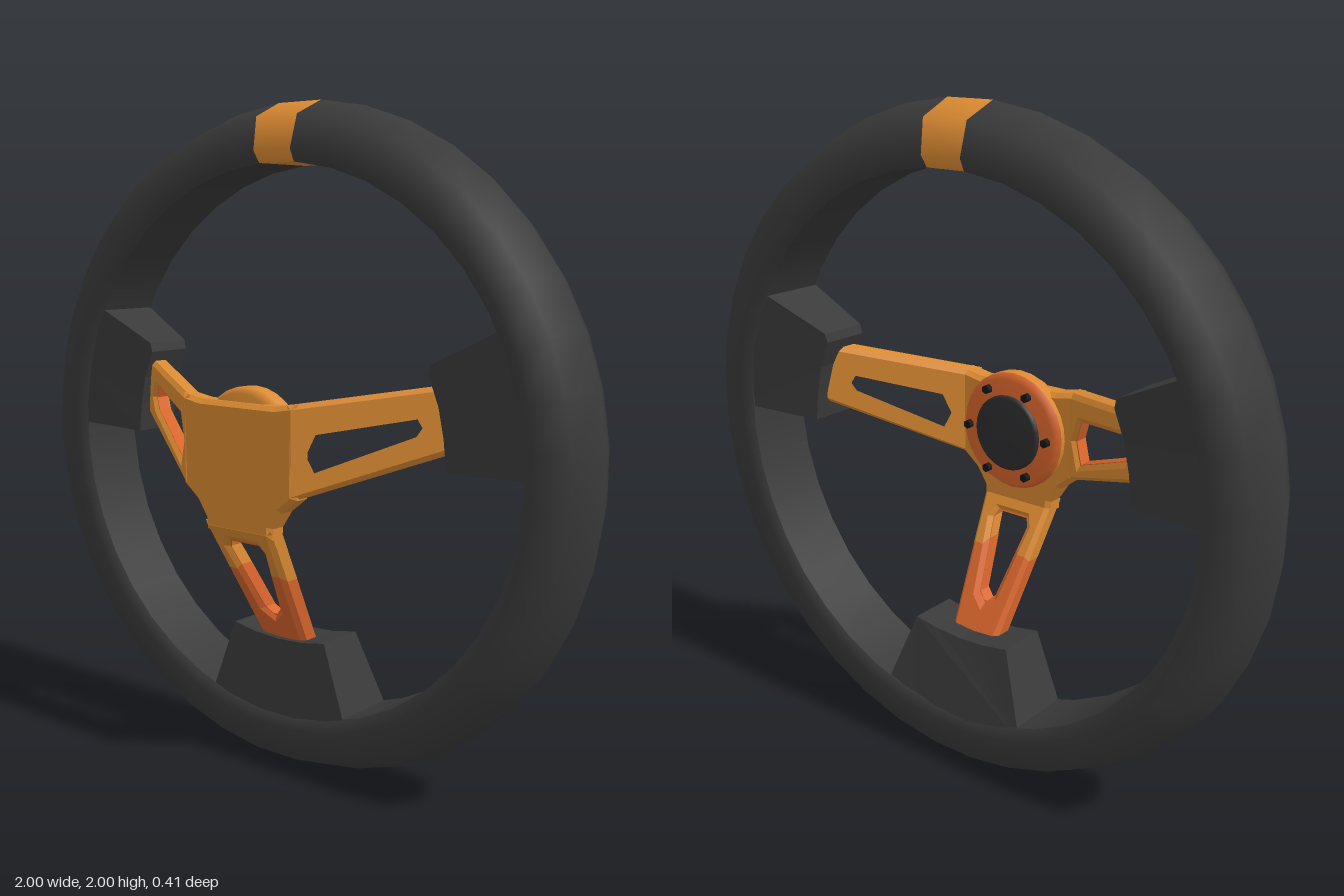
import * as THREE from 'three';

const CY = 1.0; // height of the wheel centre
const B = 0.014; // chamfer of the metal plates
const FRONT = 0.2, THICK = 0.072; // front face and thickness of the metal plates

const mat = (name, color, extra = {}) => {
  const m = new THREE.MeshStandardMaterial({ color, ...extra });
  m.name = name;
  return m;
};

const vecs = (pts) => pts.map(([x, y]) => new THREE.Vector2(x, y));
const mirrorX = (pts) => pts.map(([x, y]) => [-x, y]);
const symmetric = (half) => [...half, ...mirrorX(half).reverse()];

// scale an outline about its own middle
function scaled(pts, s) {
  const cx = pts.reduce((a, p) => a + p[0], 0) / pts.length;
  const cy = pts.reduce((a, p) => a + p[1], 0) / pts.length;
  return pts.map(([x, y]) => [cx + (x - cx) * s, cy + (y - cy) * s]);
}

// chamfered plate that leans back by drop(x, y)
function plate(pts, hole, drop, bevel = B, thick = THICK) {
  const shape = new THREE.Shape(vecs(pts));
  if (hole) shape.holes.push(new THREE.Path(vecs(hole)));
  const geo = new THREE.ExtrudeGeometry(shape, {
    depth: thick - 2 * bevel, bevelEnabled: bevel > 0, bevelSize: bevel,
    bevelThickness: bevel, bevelOffset: -bevel, bevelSegments: 1,
  });
  geo.translate(0, 0, FRONT - thick / 2 - (thick - 2 * bevel) / 2 - (THICK - thick) / 2);
  const p = geo.attributes.position;
  for (let i = 0; i < p.count; i++) p.setZ(i, p.getZ(i) - drop(p.getX(i), p.getY(i)));
  geo.computeVertexNormals();
  return geo;
}

// padded block that gets deeper towards the rim
function gripGeometry(pts) {
  const geo = new THREE.ExtrudeGeometry(new THREE.Shape(vecs(pts)), { depth: 1, bevelEnabled: false });
  const p = geo.attributes.position;
  for (let i = 0; i < p.count; i++) {
    const t = THREE.MathUtils.clamp((Math.hypot(p.getX(i), p.getY(i) - CY) - 0.58) / 0.27, 0, 1);
    const front = THREE.MathUtils.lerp(0.012, 0.022, t);
    const back = THREE.MathUtils.lerp(-0.14, -0.195, t);
    p.setZ(i, p.getZ(i) > 0.5 ? front : back);
  }
  geo.computeVertexNormals();
  return geo;
}

// lathe turned so that its axis runs front to back
function turned(profile, segments, y, start = 0, length = Math.PI * 2) {
  const geo = new THREE.LatheGeometry(vecs(profile), segments, start, length);
  geo.rotateX(Math.PI / 2);
  geo.translate(0, y, 0);
  return geo;
}

export function createModel() {
  const wheel = new THREE.Group();
  wheel.name = 'steeringWheel';
  const leather = mat('dark leather', 0x3a3a3a);
  const orange = mat('orange metal', 0xdb8a32);
  const red = mat('red orange metal', 0xd8652c);
  const cap = mat('cap black', 0x2e2e30);
  const black = mat('bolt black', 0x161616);
  const add = (name, geo, material, parent = wheel) => {
    const mesh = new THREE.Mesh(geo, material);
    mesh.name = name;
    parent.add(mesh);
    return mesh;
  };

  // rim with one coloured segment at the top
  const outer = [[0.825, -0.19], [0.86, -0.21], [0.957, -0.19], [1.002, -0.085],
    [0.957, 0.02], [0.86, 0.042], [0.825, 0.02]];
  const inner = [[0.825, 0.02], [0.825, -0.19]];
  const step = Math.PI * 2 / 40;
  for (const [part, profile] of [['Outer', outer], ['Inner', inner]]) {
    add('rim' + part, turned(profile, 39, CY, Math.PI + step / 2, Math.PI * 2 - step), leather);
    add('centreMark' + part, turned(profile, 1, CY, Math.PI - step / 2, step), orange);
  }

  // hub plate
  const hub = symmetric([[0.14, 1.15], [0.2 + B, 1.162], [0.2 + B, 0.893], [0.16, 0.85],
    [0.127, 0.8], [0.124, 0.78 - B]]);
  add('hubPlate', plate(hub, null, () => 0), orange);

  // side spokes and their grips
  const spoke = [[0.2 - B, 1.158], [0.6, 1.23], [0.62, 1.055], [0.2 - B, 0.885]];
  const spokeHole = [[0.25, 1.092], [0.505, 1.145], [0.525, 1.105], [0.505, 1.07], [0.25, 0.955], [0.222, 1.02]];
  const sideGrip = [[0.77, 1.393], [0.53, 1.278], [0.523, 1.25], [0.557, 1.165], [0.575, 1.08],
    [0.585, 0.99], [0.87, 1.0], [0.85, 1.2]];
  const sideDrop = (x) => 0.6 * (Math.abs(x) - 0.2);
  const addLiner = (name, hole, drop) =>
    add(name, plate(scaled(hole, 1.02), scaled(hole, 0.96), drop, 0, THICK - 2 * B), red);
  for (const [side, flip] of [['left', (p) => p], ['right', mirrorX]]) {
    add(side + 'Spoke', plate(flip(spoke), flip(spokeHole), sideDrop), orange);
    addLiner(side + 'SpokeSlot', flip(spokeHole), sideDrop);
    add(side + 'Grip', gripGeometry(flip(sideGrip)), leather);
  }

  // lower spoke in two colours, forked around its slot
  const lowDrop = (x, y) => 0.56 * (0.78 - y);
  const split = 0.64;
  add('lowerSpokeTop', plate(symmetric([[0.125, 0.78 + B], [0.109, split - B],
    [0.052, split - B], [0.067, 0.715], [0.055, 0.74]]), null, lowDrop), orange);
  add('lowerSpokeEnd', plate(symmetric([[0.111, split + B], [0.082, 0.37]])
    .slice(0, 2).concat([[-0.082, 0.37], [-0.111, split + B], [-0.055, split + B],
      [-0.031, 0.51], [0, 0.485], [0.031, 0.51], [0.055, split + B]]), null, lowDrop), red);
  const lowHole = symmetric([[0.055, 0.74], [0.067, 0.715], [0.031, 0.51], [0.008, 0.487]]);
  addLiner('lowerSpokeSlot', lowHole, lowDrop);
  add('lowerGrip', gripGeometry(symmetric([[0, 0.41], [0.09, 0.415], [0.175, 0.43],
    [0.265, 0.18], [0.14, 0.15]])), leather);

  // mounting boss behind the hub
  const HY = 1.01;
  add('bossBody', turned([[0.182, 0.112], [0.182, 0.15], [0.165, 0.178], [0, 0.185]], 28, HY), orange);
  add('bossRing', turned([[0, 0.088], [0.165, 0.088], [0.182, 0.112]], 28, HY), red);
  add('bossCap', turned([[0, 0.076], [0.108, 0.076], [0.117, 0.082], [0.117, 0.095]], 28, HY), cap);

  // bolts
  for (let i = 0; i < 6; i++) {
    const a = i * Math.PI / 3;
    const bolt = add('bolt' + (i + 1), new THREE.CylinderGeometry(0.014, 0.014, 0.03, 6), black);
    bolt.rotation.x = Math.PI / 2;
    bolt.position.set(Math.cos(a) * 0.145, HY + Math.sin(a) * 0.145, 0.085);
  }
  return wheel;
}
